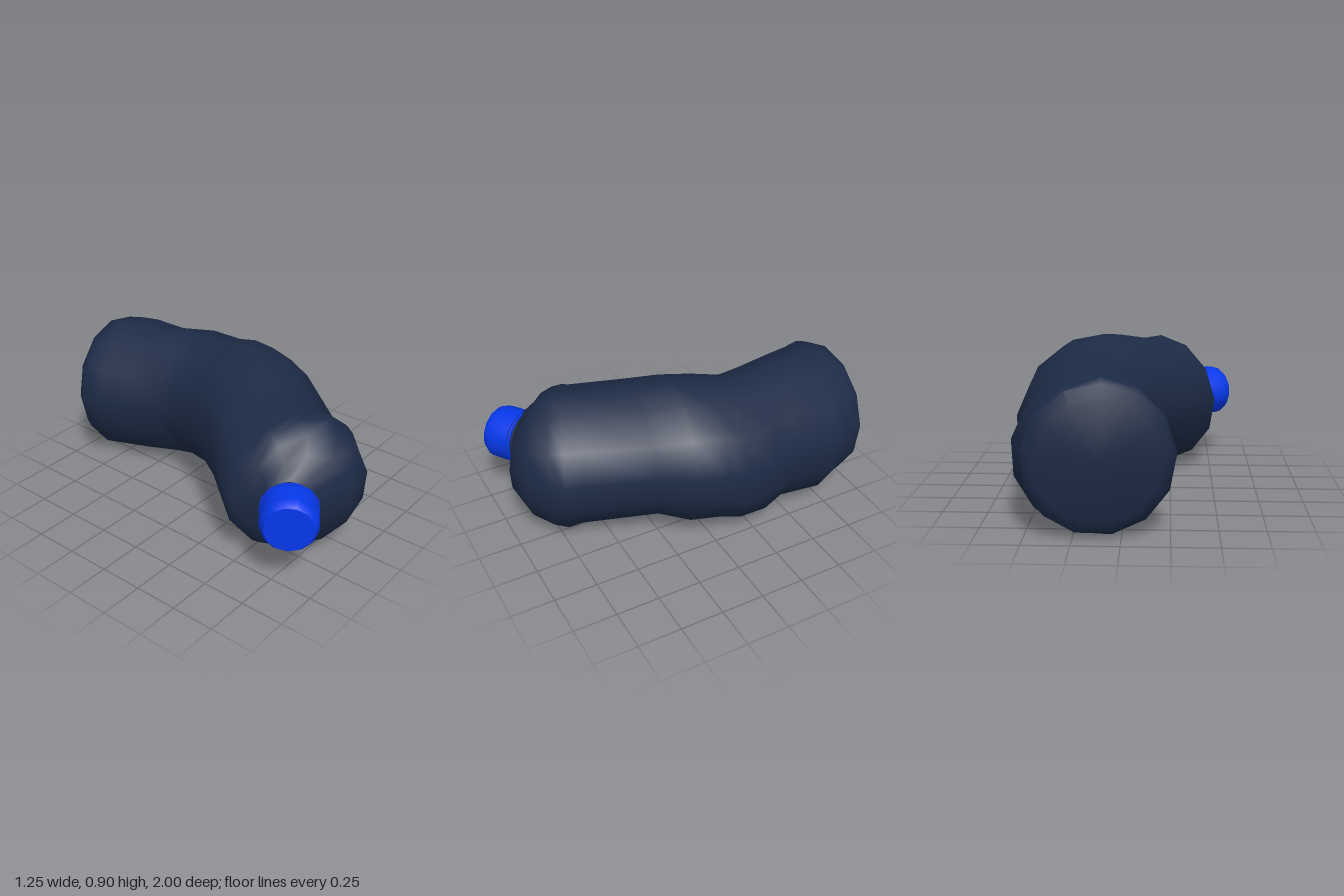
import * as THREE from 'three';
import { toCreasedNormals } from 'three/addons/utils/BufferGeometryUtils.js';

const SIDES = 13;

// Cross-sections from base to neck:
// [right x, right z, left x, left z, bottom y, top y, backward lean of the top, sideways lean]
const RINGS = [
  [-0.21, -0.935, 0.43, -0.985, 0.09, 0.74, 0.03, 0],
  [-0.26, -0.90, 0.50, -0.96, 0.03, 0.81, 0.03, 0.01],
  [-0.28, -0.86, 0.53, -0.84, 0.00, 0.83, 0.03, 0.01],
  [-0.25, -0.76, 0.58, -0.74, 0.00, 0.83, 0.03, 0.02],
  [-0.21, -0.62, 0.565, -0.47, 0.03, 0.83, 0.05, 0.02],
  [-0.12, -0.39, 0.615, -0.31, 0.03, 0.855, 0.02, 0.03],
  [-0.11, -0.30, 0.625, -0.11, 0.045, 0.85, 0, 0.03],
  [-0.17, -0.12, 0.615, 0.00, 0.075, 0.885, 0, 0.02],
  [-0.24, 0.05, 0.57, 0.16, 0.07, 0.90, 0, 0.01],
  [-0.34, 0.20, 0.48, 0.33, 0.115, 0.87, -0.02, 0],
  [-0.525, 0.45, 0.245, 0.70, 0.02, 0.80, 0, 0],
  [-0.525, 0.48, 0.23, 0.79, 0.005, 0.815, 0, 0],
  [-0.515, 0.53, 0.175, 0.86, 0.02, 0.81, 0, 0],
  [-0.50, 0.58, 0.07, 0.96, 0.08, 0.77, 0, 0],
  [-0.48, 0.63, -0.085, 0.99, 0.17, 0.685, 0, 0],
  [-0.475, 0.66, -0.315, 0.895, 0.265, 0.575, 0, 0],
];

// Loft through the leaning elliptical rings, closed at the base
function bodyGeometry() {
  const pos = [], index = [];
  const flat = Math.cos(Math.PI / SIDES);
  for (const [ax, az, bx, bz, y0, y1, lean, side] of RINGS) {
    const ry = (y1 - y0) / (1 + flat); // a corner on top, a flat underneath
    for (let j = 0; j < SIDES; j++) {
      const a = Math.PI / 2 + 0.04 + (j / SIDES) * Math.PI * 2;
      const c = Math.cos(a), s = Math.sin(a);
      pos.push((ax + bx) / 2 + c * (bx - ax) / 2 - s * side, y1 - ry + s * ry, (az + bz) / 2 + c * (bz - az) / 2 - s * lean);
    }
  }
  for (let i = 0; i < RINGS.length - 1; i++) {
    for (let j = 0; j < SIDES; j++) {
      const a = i * SIDES + j, b = i * SIDES + (j + 1) % SIDES;
      index.push(a, b, b + SIDES, a, b + SIDES, a + SIDES);
    }
  }
  const center = pos.length / 3;
  pos.push(0.11, 0.42, -0.965);
  for (let j = 0; j < SIDES; j++) index.push(center, (j + 1) % SIDES, j);
  const g = new THREE.BufferGeometry();
  g.setAttribute('position', new THREE.Float32BufferAttribute(pos, 3));
  g.setIndex(index);
  return toCreasedNormals(g, 1);
}

function lathe(name, points, material) {
  const g = new THREE.LatheGeometry(points.map(([r, y]) => new THREE.Vector2(r, y)), SIDES);
  const mesh = new THREE.Mesh(toCreasedNormals(g, 0.65), material);
  mesh.name = name;
  return mesh;
}

export function createModel() {
  const group = new THREE.Group();
  group.name = 'bentBottle';
  const navy = new THREE.MeshStandardMaterial({ color: 0x1d2b46, side: THREE.DoubleSide });
  const blue = new THREE.MeshStandardMaterial({ color: 0x0538ea, side: THREE.DoubleSide });

  const body = new THREE.Mesh(bodyGeometry(), navy);
  body.name = 'bottleBody';
  group.add(body);

  // Neck, tamper ring and screw cap share the tilted neck axis
  const top = new THREE.Group();
  top.name = 'bottleTop';
  top.position.set(-0.395, 0.42, 0.778);
  top.quaternion.setFromUnitVectors(new THREE.Vector3(0, 1, 0), new THREE.Vector3(-0.82, 0, 0.57).normalize());
  top.add(lathe('neck', [[0.148, -0.03], [0.148, 0.05]], navy));
  top.add(lathe('tamperRing', [[0.14, 0.012], [0.16, 0.012], [0.16, 0.024], [0.14, 0.024]], blue));
  top.add(lathe('cap', [[0.14, 0.034], [0.157, 0.034], [0.157, 0.145], [0.151, 0.178], [0.132, 0.203], [0, 0.203]], blue));
  group.add(top);
  return group;
}
